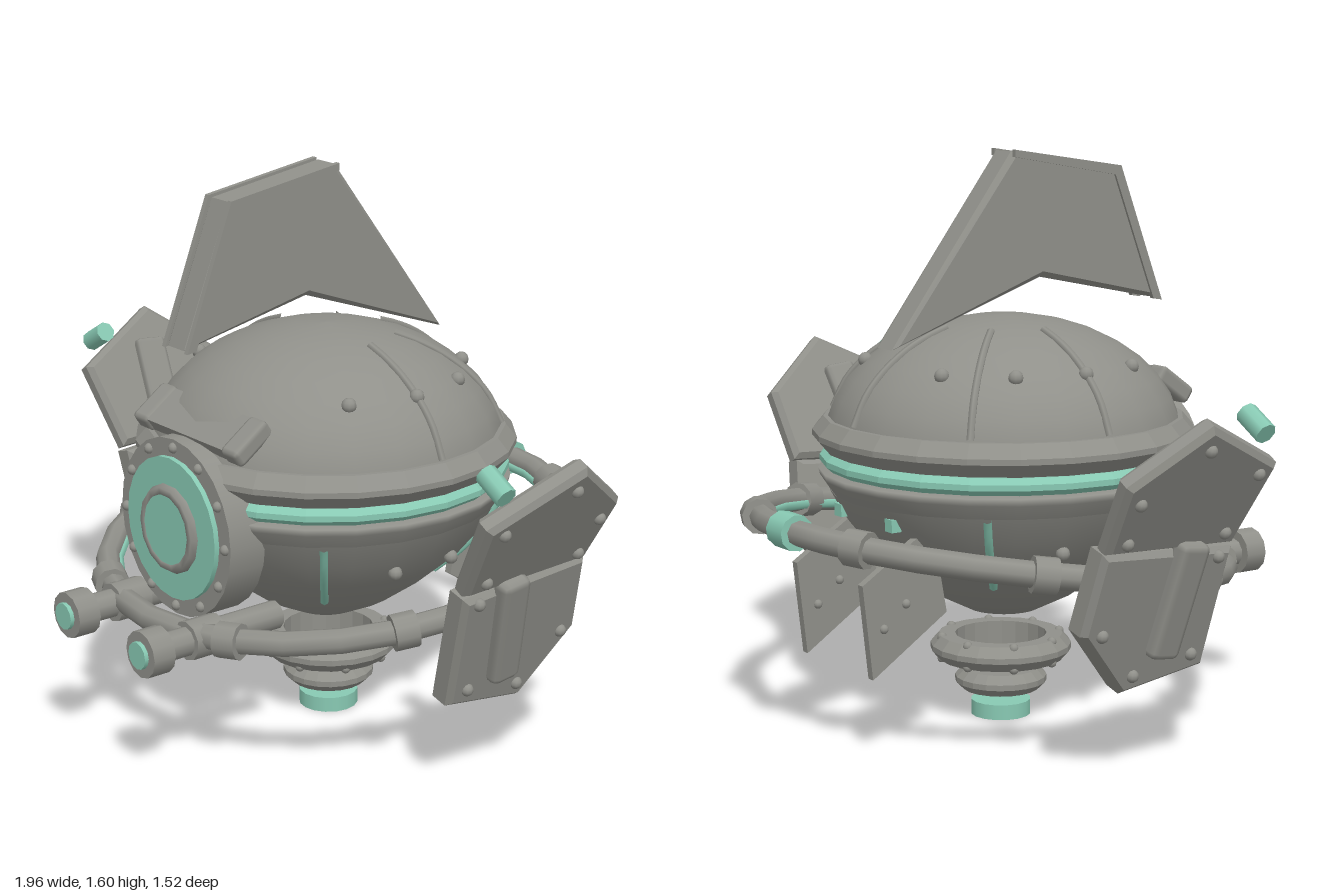
import * as THREE from 'three';
import { RoundedBoxGeometry } from 'three/addons/geometries/RoundedBoxGeometry.js';

const grey = new THREE.MeshStandardMaterial({ color: 0x90908a });
grey.name = 'grey metal';
const mint = new THREE.MeshStandardMaterial({ color: 0x88c9b3 });
mint.name = 'mint glow';

const V2 = (x, y) => new THREE.Vector2(x, y);
const V3 = (x, y, z) => new THREE.Vector3(x, y, z);

function add(parent, name, geometry, material, x = 0, y = 0, z = 0) {
  const mesh = new THREE.Mesh(geometry, material);
  mesh.name = name;
  mesh.position.set(x, y, z);
  parent.add(mesh);
  return mesh;
}

function group(parent, name, x = 0, y = 0, z = 0) {
  const g = new THREE.Group();
  g.name = name;
  g.position.set(x, y, z);
  parent.add(g);
  return g;
}

const lathe = (pts, seg = 24) => new THREE.LatheGeometry(pts.map(p => V2(...p)), seg);
const rivet = (parent, x, y, z, r = 0.02) =>
  add(parent, 'rivet', new THREE.SphereGeometry(r, 10, 6), grey, x, y, z);

// hoop with a six-sided section, pointed on the outside
function hoop(r, y0, y1, depth, seg = 24) {
  const m = (y0 + y1) / 2;
  const pts = [[r - depth, y0], [r - depth * 0.35, y0], [r, m - 0.008], [r, m + 0.008],
    [r - depth * 0.35, y1], [r - depth, y1], [r - depth, y0]];
  const g = lathe(pts, seg).toNonIndexed();
  g.computeVertexNormals();
  return g;
}

// bevelled plate from [x, y] corners, centred on its thickness
function plate(corners, thick, bevel = 0.015) {
  const g = new THREE.ExtrudeGeometry(new THREE.Shape(corners.map(p => V2(...p))), {
    depth: thick - 2 * bevel, bevelEnabled: bevel > 0, bevelSize: bevel, bevelOffset: -bevel,
    bevelThickness: bevel, bevelSegments: 1,
  });
  return g.translate(0, 0, -(thick - 2 * bevel) / 2);
}
// the same plate standing in the z-y plane; corners are [z, y]
const sidePlate = (corners, thick, bevel) =>
  plate(corners.map(([z, y]) => [-z, y]).reverse(), thick, bevel).rotateY(Math.PI / 2);

const domeY = r => 0.8 + 0.345 * Math.sqrt(Math.max(0, 1 - (r / 0.5) ** 2));
const BOWL = [[0, 0.285], [0.1, 0.31], [0.2, 0.36], [0.31, 0.44], [0.39, 0.51], [0.45, 0.585], [0.49, 0.66]];

function buildHull(root) {
  const hull = group(root, 'hull');
  const dome = [];
  for (let i = 0; i <= 9; i++) {
    const a = (i / 9) * Math.PI / 2;
    dome.push([0.5 * Math.cos(a), 0.8 + 0.345 * Math.sin(a)]);
  }
  add(hull, 'dome', lathe(dome), grey);
  add(hull, 'dome rim', hoop(0.535, 0.775, 0.865, 0.09), grey);
  add(hull, 'core', new THREE.CylinderGeometry(0.47, 0.47, 0.16, 24), grey, 0, 0.75, 0);
  add(hull, 'glow band', hoop(0.515, 0.725, 0.772, 0.05), mint);
  add(hull, 'bowl', lathe(BOWL), grey);
  add(hull, 'bowl lip', lathe([[0.485, 0.655], [0.515, 0.7], [0.52, 0.72], [0.45, 0.722]]), grey);

  // raised ribs over the back half of the dome
  for (let i = 0; i < 5; i++) {
    const a = i * Math.PI / 4;
    const path = [0.19, 0.26, 0.33, 0.4, 0.45, 0.49].map(r =>
      V3(r * Math.cos(a), domeY(r), -r * Math.sin(a)));
    add(hull, 'dome rib', new THREE.TubeGeometry(new THREE.CatmullRomCurve3(path), 14, 0.011, 6), grey);
  }
  for (const deg of [-30, 0, 30, 60, 120, 150, 180, 210]) {
    const a = deg * Math.PI / 180;
    rivet(hull, 0.385 * Math.cos(a), domeY(0.385), -0.385 * Math.sin(a), 0.021);
  }
  // glowing slits and rivets around the bowl
  for (const s of [-1, 1]) for (const t of [-1, 1]) {
    const path = BOWL.slice(3).map(([r, y]) => V3(s * r * 0.77, y - 0.003, t * r * 0.64));
    add(hull, 'glow slit', new THREE.TubeGeometry(new THREE.CatmullRomCurve3(path), 10, 0.012, 6), mint);
    rivet(hull, s * 0.42, 0.55, t * 0.1);
  }
  for (const s of [-1, 1])
    add(hull, 'rear light', new THREE.BoxGeometry(0.035, 0.035, 0.03), mint, s * 0.13, 0.62, -0.45);
}

function buildFace(root) {
  const face = group(root, 'porthole', 0, 0.66, 0);
  const disc = (name, r, z0, z1, mat, seg = 24) =>
    add(face, name, new THREE.CylinderGeometry(r, r, z1 - z0, seg).rotateX(Math.PI / 2), mat, 0, 0, (z0 + z1) / 2);
  disc('housing', 0.25, 0.41, 0.525, grey);
  disc('glow lens', 0.2, 0.52, 0.54, mint);
  add(face, 'lens ring', new THREE.TorusGeometry(0.108, 0.018, 6, 14), grey, 0, 0, 0.542);
  disc('pupil', 0.1, 0.53, 0.557, mint, 14);
  for (let i = 0; i < 12; i++) {
    const a = i * Math.PI / 6;
    rivet(face, 0.226 * Math.sin(a), 0.226 * Math.cos(a), 0.525, 0.015);
  }
  // brow over the porthole
  const brow = group(root, 'brow', 0, 0.935, 0.43);
  brow.rotation.x = 0.62;
  add(brow, 'brow bar', new THREE.BoxGeometry(0.4, 0.042, 0.12), grey);
  for (const s of [-1, 1])
    add(brow, 'brow end', new RoundedBoxGeometry(0.07, 0.055, 0.135, 1, 0.015), grey, s * 0.2, 0, 0);
}

function buildFin(root) {
  const fin = group(root, 'top fin');
  add(fin, 'fin blade', sidePlate([[0.51, 1.16], [0.36, 1.54], [0, 1.595], [-0.39, 1.075], [0.1, 1.245]], 0.1), grey);
  // flanges along the leading edge
  for (const s of [-1, 1])
    add(fin, 'fin flange', sidePlate([[0.515, 1.155], [0.365, 1.545], [0.0, 1.6], [0.0, 1.58], [0.345, 1.52], [0.485, 1.16]], 0.015, 0), grey, s * 0.05);
}

function buildRing(root) {
  const ring = group(root, 'tilted ring', 0, 0.515, -0.04);
  ring.rotation.x = 0.147;
  const R = 0.66;
  add(ring, 'ring tube', new THREE.TorusGeometry(R, 0.035, 8, 28).rotateX(Math.PI / 2), grey);
  add(ring, 'ring lining', new THREE.TorusGeometry(R - 0.03, 0.014, 6, 28).rotateX(Math.PI / 2), mint, 0, -0.008, 0);
  const clamp = (deg, r, len, mat) => {
    const arm = group(ring, 'ring clamp');
    arm.rotation.y = deg * Math.PI / 180;
    add(arm, 'clamp sleeve', new THREE.CylinderGeometry(r, r, len, 10).rotateZ(Math.PI / 2), mat, 0, 0, R);
  };
  for (const deg of [25, 66, 113, 156.5]) for (const s of [-1, 1]) clamp(s * deg, 0.05, 0.065, grey);
  clamp(180, 0.05, 0.08, mint);

  // forward lamps on their stalks
  for (const s of [-1, 1]) {
    const lamp = group(root, 'lamp', s * 0.175, 0.41, 0);
    const rod = (name, r, z0, z1, mat, seg) =>
      add(lamp, name, new THREE.CylinderGeometry(r, r, z1 - z0, seg).rotateX(Math.PI / 2), mat, 0, 0, (z0 + z1) / 2);
    rod('lamp stalk', 0.04, 0.32, 0.71, grey, 10);
    rod('lamp sleeve', 0.055, 0.52, 0.62, grey, 10);
    rod('lamp head', 0.065, 0.7, 0.768, grey, 12);
    rod('lamp light', 0.038, 0.76, 0.78, mint, 12);
  }
}

function buildWing(root, s) {
  const wing = group(root, s > 0 ? 'left wing' : 'right wing');
  // built on the +x side, then turned half way round with z mirrored in the corners
  const m = s;
  const corner = ([z, v]) => [m * z, v];
  const shape = pts => (m > 0 ? pts : [...pts].reverse()).map(corner);
  if (s < 0) wing.rotation.y = Math.PI;

  const upper = group(wing, 'upper panel', 0.76, 0.62, 0);
  upper.rotation.z = -Math.PI / 6;
  add(upper, 'upper plate', sidePlate(shape([[0.18, 0], [0.22, 0.26], [-0.05, 0.41], [-0.255, 0.24], [-0.24, 0.02]]), 0.06), grey);
  const bar = add(upper, 'inner bar', new RoundedBoxGeometry(0.05, 0.27, 0.1, 1, 0.015), grey, -0.03, 0.17, 0);
  bar.rotation.x = -m * 0.1;
  for (const [z, v] of [[-0.04, 0.34], [-0.2, 0.19], [0.16, 0.24], [-0.19, 0.06], [0.13, 0.05]])
    rivet(upper, 0.03, v, m * z, 0.018);
  add(upper, 'tip light', new THREE.CylinderGeometry(0.03, 0.03, 0.09, 8).rotateZ(Math.PI / 2), mint, -0.056, 0.337, m * 0.17);

  const lower = group(wing, 'lower panel', 0.755, 0.62, 0);
  lower.rotation.z = -Math.PI / 12;
  add(lower, 'lower plate', sidePlate(shape([[0.18, -0.01], [-0.245, 0.02], [-0.27, -0.21], [-0.11, -0.4], [0.155, -0.355]]), 0.08), grey);
  const grip = add(lower, 'outer grip', new RoundedBoxGeometry(0.06, 0.33, 0.095, 1, 0.02), grey, 0.045, -0.135, m * 0.01);
  grip.rotation.x = m * 0.13;
  for (const [z, v] of [[-0.21, -0.21], [-0.085, -0.345], [0.1, -0.31], [0.13, -0.03]])
    rivet(lower, 0.04, v, m * z, 0.018);
  add(wing, 'wing mount', new THREE.CylinderGeometry(0.045, 0.045, 0.14, 8).rotateZ(Math.PI / 2), grey, 0.68, 0.52, 0);
}

function buildUnderside(root) {
  const base = group(root, 'thruster', 0, 0, -0.01);
  add(base, 'large thruster ring', hoop(0.2, 0.165, 0.235, 0.07, 20), grey);
  add(base, 'small thruster ring', hoop(0.13, 0.075, 0.135, 0.065, 20), grey);
  add(base, 'thruster light', new THREE.CylinderGeometry(0.085, 0.085, 0.043, 16), mint, 0, 0.0215, 0);
  for (let i = 0; i < 8; i++) {
    const a = (i + 0.5) * Math.PI / 4;
    for (const y of [0.17, 0.23]) rivet(base, 0.17 * Math.cos(a), y, 0.17 * Math.sin(a), 0.014);
  }
  // thin tail vanes
  for (const s of [-1, 1]) {
    const vane = group(root, 'tail vane', s * 0.172, 0, 0);
    add(vane, 'vane plate', sidePlate([[-0.36, 0.62], [-0.58, 0.48], [-0.55, 0.22], [-0.315, 0.375]], 0.024, 0), grey);
    for (const [z, y] of [[-0.445, 0.415], [-0.515, 0.355]])
      for (const t of [-1, 1]) rivet(vane, t * 0.012, y, z, 0.013);
  }
}

export function createModel() {
  const root = new THREE.Group();
  root.name = 'hover drone';
  buildHull(root);
  buildFace(root);
  buildFin(root);
  buildRing(root);
  for (const s of [-1, 1]) buildWing(root, s);
  buildUnderside(root);
  return root;
}
